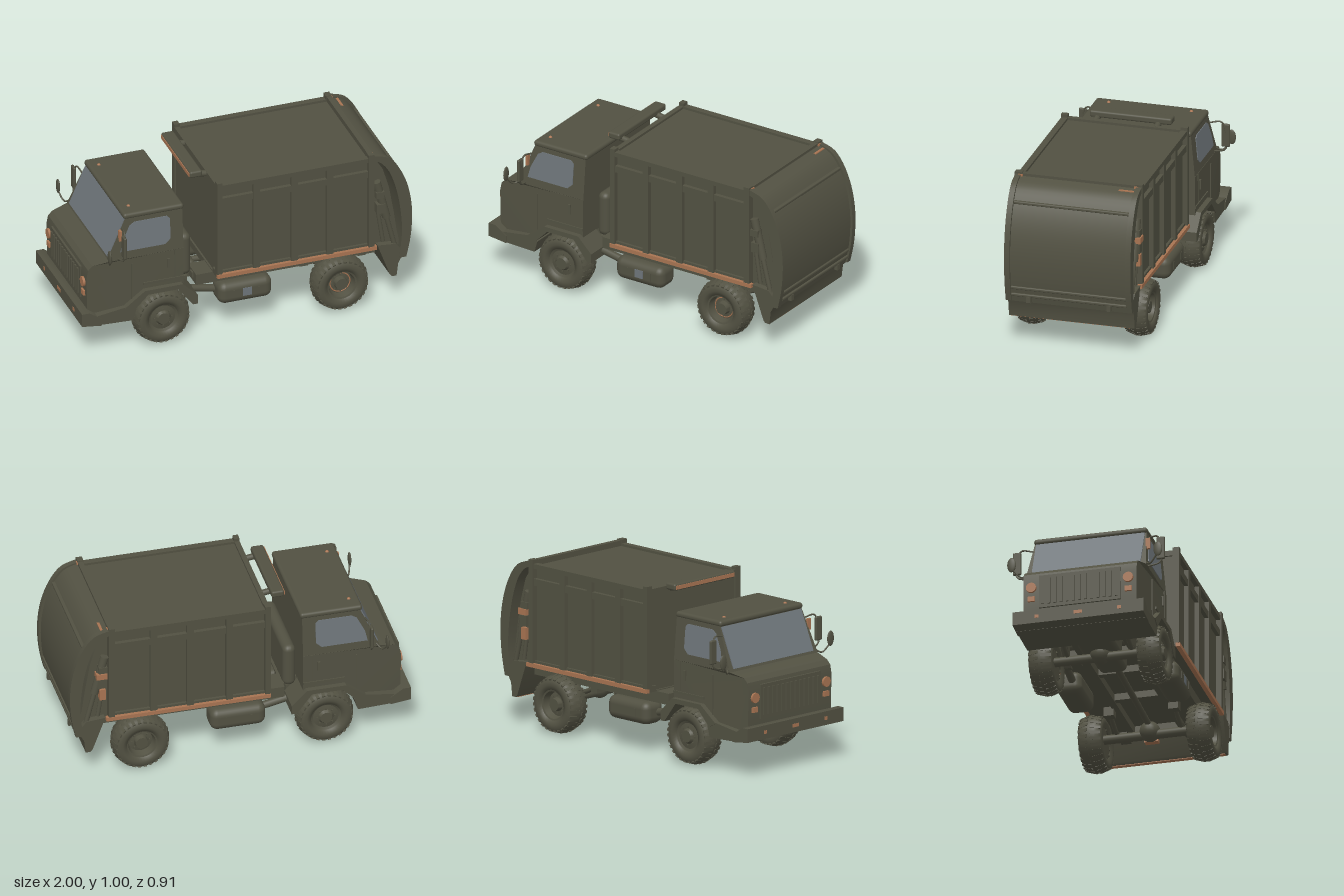
import * as THREE from 'three';
import { toCreasedNormals } from 'three/addons/utils/BufferGeometryUtils.js';
import { RoundedBoxGeometry } from 'three/addons/geometries/RoundedBoxGeometry.js';

const mat = (name, color) => Object.assign(new THREE.MeshStandardMaterial({ color }), { name });

export function createModel() {
  const olive = mat('olive paint', 0x525142);
  const rust = mat('rust orange', 0xa87452);
  const glass = mat('grey glass', 0x6e757a);
  const root = new THREE.Group();
  root.name = 'refuseTruck';

  const V = (x, y, z) => new THREE.Vector3(x, y, z);
  const add = (name, geo, m = olive, parent = root) => {
    const mesh = new THREE.Mesh(geo, m);
    mesh.name = name;
    parent.add(mesh);
    return mesh;
  };
  // boxes given by their limits on each axis
  const place = (b, x0, x1, y0, y1, z0, z1) => b.position.set((x0 + x1) / 2, (y0 + y1) / 2, (z0 + z1) / 2);
  const box = (name, x0, x1, y0, y1, z0, z1, m) =>
    place(add(name, new THREE.BoxGeometry(x1 - x0, y1 - y0, Math.abs(z1 - z0)), m), x0, x1, y0, y1, z0, z1);
  const rounded = (name, x0, x1, y0, y1, z0, z1, r) =>
    place(add(name, new RoundedBoxGeometry(x1 - x0, y1 - y0, Math.abs(z1 - z0), 3, r)), x0, x1, y0, y1, z0, z1);
  // side outline extruded across the truck
  const prismGeo = (pts, z0, z1) => {
    const shape = new THREE.Shape(pts.map(p => new THREE.Vector2(...p)));
    return new THREE.ExtrudeGeometry(shape, { depth: Math.abs(z1 - z0), bevelEnabled: false })
      .translate(0, 0, Math.min(z0, z1));
  };
  const prism = (name, pts, z0, z1) => add(name, toCreasedNormals(prismGeo(pts, z0, z1), 0.6));
  const rod = (name, a, b, r, m) => {
    const c = add(name, new THREE.CylinderGeometry(r, r, a.distanceTo(b), 14), m);
    c.position.copy(a).lerp(b, 0.5);
    c.quaternion.setFromUnitVectors(V(0, 1, 0), b.clone().sub(a).normalize());
  };
  const tube = (name, pts, r) =>
    add(name, new THREE.TubeGeometry(new THREE.CatmullRomCurve3(pts), 20, r, 8));
  const both = fn => [1, -1].forEach(fn);

  // ---- cab ----
  const lower = prismGeo([[-0.95, 0.27], [-0.955, 0.5], [-0.945, 0.55], [-0.92, 0.575], [-0.82, 0.597],
    [-0.375, 0.6], [-0.375, 0.36], [-0.64, 0.36], [-0.72, 0.27]], -0.354, 0.354);
  const lp = lower.attributes.position;
  for (let i = 0; i < lp.count; i++) if (lp.getX(i) < -0.9) lp.setZ(i, lp.getZ(i) * 0.94);
  add('cabLower', toCreasedNormals(lower, 0.5));

  // the upper cab leans inward with height
  const lean = geo => {
    const p = geo.attributes.position;
    for (let i = 0; i < p.count; i++) p.setZ(i, p.getZ(i) * (1 - 0.27 * (p.getY(i) - 0.6)));
    geo.computeVertexNormals();
    return geo;
  };
  add('cabUpper', lean(prismGeo([[-0.825, 0.595], [-0.715, 0.85], [-0.375, 0.85], [-0.375, 0.595]], -0.352, 0.352)));
  rounded('cabRoof', -0.73, -0.365, 0.84, 0.875, -0.333, 0.333, 0.016);
  const side = [[-0.755, 0.645], [-0.74, 0.71], [-0.695, 0.8], [-0.665, 0.818], [-0.47, 0.818], [-0.452, 0.8],
    [-0.452, 0.675], [-0.485, 0.645]];
  both(s => {
    add('sideWindow', lean(prismGeo(side, s * 0.35, s * 0.356)), glass);
    box('doorHandle', -0.475, -0.46, 0.49, 0.55, s * 0.35, s * 0.363);
    box('doorSill', -0.62, -0.375, 0.405, 0.42, s * 0.35, s * 0.36);
    box('rearDoorSeam', -0.432, -0.427, 0.41, 0.6, s * 0.35, s * 0.357);
    box('frontDoorSeam', -0.69, -0.685, 0.31, 0.56, s * 0.35, s * 0.357);
    const lamp = add('roofLamp', new THREE.SphereGeometry(0.011, 12, 8), rust);
    lamp.position.set(-0.67, 0.873, s * 0.245);
  });
  const screen = add('windscreen', new THREE.BoxGeometry(0.008, 0.25, 0.64), glass);
  screen.position.set(-0.771, 0.725, 0);
  screen.rotation.z = -Math.atan2(0.11, 0.255);
  box('mirrorMarker', -0.765, -0.75, 0.72, 0.785, 0.335, 0.36, rust);

  // grille and headlamps
  box('grillePanel', -0.962, -0.95, 0.33, 0.53, -0.24, 0.24);
  for (let i = 0; i < 13; i++) {
    const z = -0.216 + i * 0.036;
    box('grilleSlat', -0.97, -0.96, 0.35, 0.51, z - 0.008, z + 0.008);
  }
  both(s => {
    rod('headlamp', V(-0.94, 0.46, s * 0.285), V(-0.968, 0.46, s * 0.285), 0.03, rust);
    box('indicator', -0.965, -0.945, 0.375, 0.405, s * 0.265, s * 0.305, rust);
  });

  // bumper, front apron and wheel arches
  prism('bumper', [[-1, 0.22], [-1, 0.3], [-0.955, 0.3], [-0.88, 0.25], [-0.88, 0.205]], -0.385, 0.385);
  prism('frontApron', [[-0.93, 0.21], [-0.93, 0.265], [-0.72, 0.295], [-0.67, 0.27], [-0.69, 0.2]], -0.38, 0.38);
  box('bumperBadge', -1.002, -0.998, 0.25, 0.27, -0.025, 0.025, rust);
  both(s => {
    box('bumperMarker', -1.002, -0.998, 0.25, 0.27, s * 0.23, s * 0.255, rust);
    prism('wheelArch', [[-0.74, 0.29], [-0.62, 0.38], [-0.39, 0.38], [-0.3, 0.29], [-0.3, 0.235],
      [-0.33, 0.235], [-0.42, 0.352], [-0.6, 0.352], [-0.69, 0.26]], s * 0.22, s * 0.385);
  });

  // mirrors on bent arms
  both(s => {
    tube('mirrorArm', [V(-0.74, 0.79, s * 0.33), V(-0.75, 0.797, s * 0.4), V(-0.755, 0.72, s * 0.425),
      V(-0.76, 0.63, s * 0.42), V(-0.77, 0.605, s * 0.35)], 0.005);
    rounded('doorMirror', -0.768, -0.75, 0.645, 0.785, s * 0.397, s * 0.447, 0.008);
    tube('roundMirrorArm', [V(-0.8, 0.62, s * 0.34), V(-0.83, 0.595, s * 0.38), V(-0.85, 0.64, s * 0.425)], 0.005);
    const oval = add('roundMirror', new THREE.SphereGeometry(1, 18, 12));
    oval.scale.set(0.009, 0.045, 0.026);
    oval.position.set(-0.85, 0.67, s * 0.43);
  });

  // ---- chassis ----
  both(s => {
    box('chassisRail', -0.9, 0.82, 0.29, 0.345, s * 0.13, s * 0.17);
    box('subframeRail', -0.28, 0.8, 0.305, 0.372, s * 0.16, s * 0.3);
  });
  box('bodyFloor', -0.18, 0.78, 0.335, 0.378, -0.3, 0.3);
  for (const x of [-0.85, -0.3, -0.05, 0.3, 0.75]) box('crossMember', x - 0.02, x + 0.02, 0.295, 0.34, -0.15, 0.15);
  rounded('engine', -0.85, -0.42, 0.22, 0.4, -0.11, 0.11, 0.03);
  rounded('gearbox', -0.44, -0.2, 0.23, 0.33, -0.08, 0.08, 0.03);
  rod('driveShaft', V(-0.25, 0.3, 0), V(0.56, 0.25, 0), 0.018);
  for (const x of [-0.505, 0.575]) {
    rod('axle', V(x, 0.195, -0.28), V(x, 0.195, 0.28), 0.027);
    const diff = add('differential', new THREE.SphereGeometry(0.06, 18, 12));
    diff.position.set(x, 0.216, 0);
    both(s => {
      tube('leafSpring', [V(x - 0.18, 0.28, s * 0.19), V(x, 0.22, s * 0.19), V(x + 0.18, 0.28, s * 0.19)], 0.014);
      for (const d of [-0.175, 0.175]) box('springHanger', x + d - 0.025, x + d + 0.025, 0.25, 0.33, s * 0.16, s * 0.22);
    });
  }
  box('differentialCap', 0.6, 0.64, 0.165, 0.185, -0.04, 0.04, rust);
  both(s => {
    rounded('fuelTank', -0.16, 0.165, 0.17, 0.305, s * 0.21, s * 0.36, 0.045);
    for (const x of [-0.07, 0.08]) box('tankStrap', x - 0.006, x + 0.006, 0.215, 0.26, s * 0.35, s * 0.363);
    rod('airPipe', V(-0.3, 0.27, s * 0.26), V(-0.16, 0.24, s * 0.26), 0.022);
  });
  box('tankPatch', -0.02, 0.035, 0.215, 0.265, 0.358, 0.362, glass);

  // ---- wheels ----
  const tyre = [[0.09, -0.06], [0.115, -0.07], [0.14, -0.068], [0.156, -0.054], [0.164, -0.03], [0.167, 0],
    [0.164, 0.03], [0.156, 0.054], [0.14, 0.068], [0.115, 0.07], [0.09, 0.06], [0.085, 0.03]];
  const tyreGeo = new THREE.LatheGeometry(tyre.map(p => new THREE.Vector2(...p)), 40).rotateX(Math.PI / 2);
  const lugGeo = new THREE.BoxGeometry(0.014, 0.018, 0.06);
  const hubs = {
    front: [[0, 0.066], [0.035, 0.066], [0.045, 0.05], [0.075, 0.045], [0.095, 0.055], [0.1, 0.02], [0.1, -0.05], [0, -0.05]],
    rear: [[0, 0.05], [0.035, 0.05], [0.04, 0.02], [0.07, 0.015], [0.08, 0.055], [0.097, 0.06], [0.1, 0.02], [0.1, -0.05], [0, -0.05]],
  };
  for (const [kind, x] of [['front', -0.505], ['rear', 0.575]]) both(s => {
    const wheel = new THREE.Group();
    wheel.name = kind + 'Wheel';
    wheel.position.set(x, 0.175, s * 0.318);
    if (s < 0) wheel.rotation.y = Math.PI;
    root.add(wheel);
    add('tyre', tyreGeo, olive, wheel);
    const hubGeo = new THREE.LatheGeometry(hubs[kind].slice().reverse().map(p => new THREE.Vector2(...p)), 32);
    add('hub', toCreasedNormals(hubGeo.rotateX(Math.PI / 2), 0.6), olive, wheel);
    if (kind === 'rear' && s > 0) add('rimRing', new THREE.TorusGeometry(0.06, 0.0035, 6, 32), rust, wheel).position.z = 0.02;
    for (let i = 0; i < 8; i++) {
      const a = i * Math.PI / 4, b = add('wheelNut', new THREE.BoxGeometry(0.008, 0.008, 0.01), olive, wheel);
      b.position.set(0.052 * Math.cos(a), 0.052 * Math.sin(a), kind === 'rear' ? 0.02 : 0.05);
    }
    // tread lugs follow the rounded shoulder
    for (let i = 0; i < 56; i++) {
      const a = i * Math.PI / 28, d = i % 2 ? 1 : -1;
      const lug = add('treadLug', lugGeo, olive, wheel);
      lug.position.set(0.155 * Math.cos(a), 0.155 * Math.sin(a), d * 0.036);
      lug.rotation.set(0, -d * 0.3, a, 'ZYX');
    }
  });

  // ---- equipment between cab and body ----
  rounded('airCleaner', -0.36, -0.285, 0.34, 0.61, -0.26, 0.24, 0.035);
  both(s => box('pipeStub', -0.29, -0.19, 0.33, 0.365, s * 0.22, s * 0.255));
  rounded('lampBar', -0.29, -0.215, 0.965, 1.005, -0.26, 0.226, 0.012);
  box('lampBarFace', -0.294, -0.288, 0.973, 0.995, -0.25, 0.216, rust);
  both(s => rod('lampBarArm', V(-0.235, 0.965, s * 0.18), V(-0.17, 0.955, s * 0.18), 0.018));

  // ---- refuse body ----
  box('bodyShell', -0.17, 0.75, 0.375, 0.958, -0.345, 0.345);
  both(s => {
    box('topRail', -0.18, 0.75, 0.945, 0.972, s * 0.335, s * 0.372);
    box('middleRail', -0.18, 0.75, 0.845, 0.885, s * 0.335, s * 0.368);
    box('bottomRail', -0.18, 0.77, 0.37, 0.405, s * 0.3, s * 0.36);
    box('bottomFlange', -0.18, 0.785, 0.368, 0.391, s * 0.355, s * 0.38, rust);
    for (const x of [0.06, 0.29, 0.505]) box('sideRib', x - 0.02, x + 0.02, 0.39, 0.965, s * 0.335, s * 0.372);
    box('frontPost', -0.18, -0.148, 0.392, 0.99, s * 0.335, s * 0.375);
    box('rearPost', 0.735, 0.77, 0.392, 0.995, s * 0.335, s * 0.378);
  });
  box('frontTopRail', -0.18, -0.15, 0.94, 0.972, -0.37, 0.37);
  box('rearTopRail', 0.74, 0.77, 0.94, 0.99, -0.37, 0.37);

  // ---- tailgate ----
  prism('compactorBody', [[0.74, 0.965], [0.79, 0.935], [0.835, 0.865], [0.872, 0.74], [0.9, 0.58], [0.918, 0.45],
    [0.945, 0.32], [0.9, 0.25], [0.8, 0.36], [0.74, 0.38]], -0.335, 0.335);
  prism('hopper', [[0.79, 0.39], [0.865, 0.185], [0.875, 0.172], [0.905, 0.17], [0.915, 0.25], [0.952, 0.32], [0.9, 0.38]],
    -0.372, 0.372);
  box('hopperEdge', 0.876, 0.903, 0.168, 0.173, -0.36, 0.36, rust);
  const arc = pts => new THREE.SplineCurve(pts.map(p => new THREE.Vector2(...p))).getPoints(24).map(p => [p.x, p.y]);
  const outer = arc([[0.765, 0.985], [0.86, 0.952], [0.93, 0.86], [0.978, 0.73], [0.998, 0.58], [0.99, 0.42], [0.963, 0.285]]);
  const inner = arc([[0.92, 0.285], [0.937, 0.45], [0.928, 0.6], [0.903, 0.74], [0.862, 0.86], [0.81, 0.93], [0.765, 0.95]]);
  prism('rearShield', [...outer.map(p => [p[0] - 0.014, p[1] - 0.006]), ...inner], -0.345, 0.345);
  for (const [x, y] of [[0.96, 0.325], [0.967, 0.37], [0.909, 0.868]])
    rounded('shieldRib', x - 0.015, x + 0.012, y - 0.009, y + 0.009, -0.342, 0.342, 0.006);
  both(s => {
    prism('shieldFrame', [...outer, ...inner], s * 0.342, s * 0.374);
    box('tailLamp', 0.768, 0.776, 0.962, 0.985, s * 0.33, s * 0.355, rust);
    rod('ramBarrel', V(0.79, 0.8, s * 0.352), V(0.85, 0.56, s * 0.352), 0.024);
    rod('ramRod', V(0.85, 0.56, s * 0.352), V(0.9, 0.36, s * 0.352), 0.014);
    rod('hydraulicPipe', V(0.8, 0.6, s * 0.35), V(0.83, 0.4, s * 0.35), 0.012);
    box('ramBracket', 0.78, 0.83, 0.7, 0.74, s * 0.33, s * 0.38);
    box('valveBlock', 0.785, 0.835, 0.6, 0.66, s * 0.33, s * 0.38);
    box('tailHook', 0.95, 0.975, 0.285, 0.32, s * 0.225, s * 0.25);
  });
  // rusted fittings on the right-hand side of the tailgate
  box('rustedBracket', 0.782, 0.845, 0.665, 0.7, -0.388, -0.34, rust);
  box('rustedValve', 0.79, 0.825, 0.52, 0.59, -0.38, -0.34, rust);
  box('rustedTopStrip', 0.79, 0.81, 0.952, 0.968, -0.34, -0.25, rust);
  return root;
}
